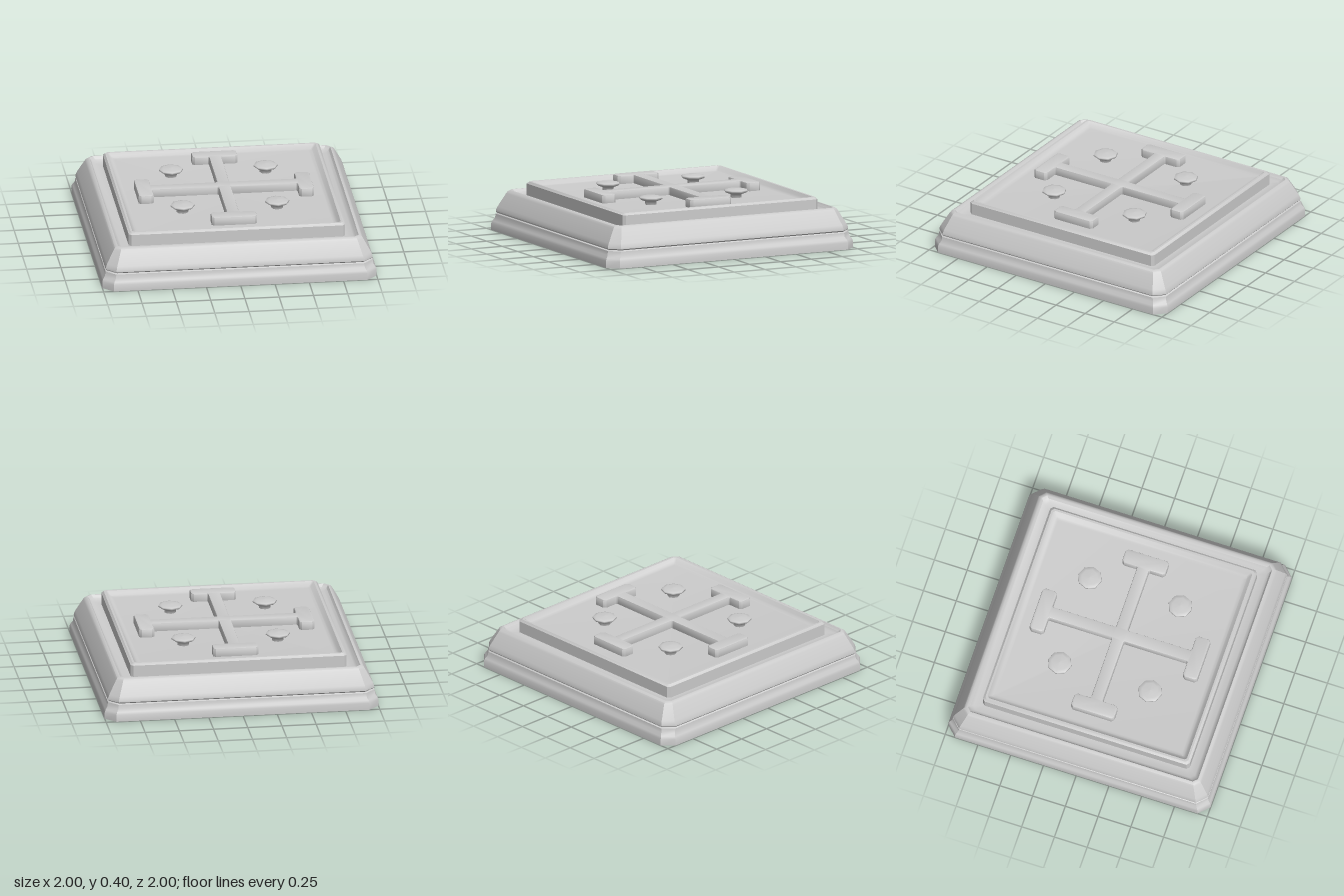
import * as THREE from 'three';
import { toCreasedNormals } from 'three/addons/utils/BufferGeometryUtils.js';

const grey = new THREE.MeshStandardMaterial({ color: 0xcccccc, side: THREE.DoubleSide });

function addMesh(parent, name, geometry) {
  const mesh = new THREE.Mesh(geometry, grey);
  mesh.name = name;
  parent.add(mesh);
  return mesh;
}

// Square with cut corners, counter-clockwise seen from above
function ring(h, cut, y) {
  const k = h - cut;
  return [[h, k], [h, -k], [k, -h], [-k, -h], [-h, -k], [-h, k], [-k, h], [k, h]]
    .map(([x, z]) => [x, y, z]);
}

// Skin through rings of [half width, corner cut, height], optionally closed at the end
function loft(rows, closed) {
  const points = rows.flatMap((r) => ring(...r));
  const index = [];
  for (let i = 0; i < rows.length - 1; i++) {
    for (let j = 0; j < 8; j++) {
      const a = i * 8 + j, b = i * 8 + (j + 1) % 8;
      index.push(a, b, b + 8, a, b + 8, a + 8);
    }
  }
  if (closed) {
    const start = (rows.length - 1) * 8;
    for (let j = 1; j < 7; j++) index.push(start, start + j, start + j + 1);
  }
  const geometry = new THREE.BufferGeometry();
  geometry.setAttribute('position', new THREE.Float32BufferAttribute(points.flat(), 3));
  geometry.setIndex(index);
  return toCreasedNormals(geometry, 0.6);
}

// Four equal arms, each ending in a crossbar
function crossShape(inset) {
  const w = 0.045 - inset, b = 0.165 - inset, inner = 0.53 + inset, outer = 0.64 - inset;
  const f = 0.012;
  const arm = [[w + f, w], [inner - f, w], [inner, w + f], [inner, b - f], [inner + f, b],
    [outer - f, b], [outer, b - f]];
  const points = [];
  for (let q = 0; q < 4; q++) {
    const c = Math.round(Math.cos(q * Math.PI / 2)), s = Math.round(Math.sin(q * Math.PI / 2));
    // Lower half of the arm outward, then the upper half back
    const half = [...arm.map(([x, y]) => [x, -y]), ...arm.slice().reverse()];
    half.forEach(([x, y]) => points.push(new THREE.Vector2(c * x - s * y, s * x + c * y)));
  }
  return new THREE.Shape(points);
}

export function createModel() {
  const model = new THREE.Group();
  model.name = 'squarePlaque';

  // Hollow moulded frame, open underneath
  addMesh(model, 'baseMoulding', loft([
    [1, 0.075, 0], [1, 0.075, 0.05], [0.993, 0.073, 0.068], [0.978, 0.07, 0.09],
    [0.974, 0.07, 0.12], [0.965, 0.068, 0.127],
  ]));
  addMesh(model, 'upperFrame', loft([
    [0.965, 0.068, 0.127], [0.973, 0.07, 0.136], [0.972, 0.07, 0.15], [0.962, 0.066, 0.175],
    [0.91, 0.045, 0.27], [0.9, 0.04, 0.285], [0.885, 0.033, 0.294],
    [0.878, 0.03, 0.294], [0.865, 0.03, 0.275], [0.845, 0.03, 0.262], [0.79, 0.02, 0.262],
  ]));

  // Raised panel with a softly dished middle
  addMesh(model, 'panel', loft([
    [0.79, 0.02, 0.262], [0.79, 0.02, 0.348], [0.775, 0.018, 0.363], [0.76, 0.015, 0.363],
    [0.745, 0.012, 0.345], [0.73, 0.01, 0.333], [0.71, 0.01, 0.33],
  ], true));

  // Relief cross with softened top edges
  const bevel = 0.01;
  const cross = new THREE.ExtrudeGeometry(crossShape(bevel), {
    depth: 0.052, bevelThickness: bevel, bevelSize: bevel, bevelSegments: 2,
  });
  cross.rotateX(-Math.PI / 2);
  cross.translate(0, 0.33, 0);
  addMesh(model, 'reliefCross', toCreasedNormals(cross, 0.6));

  // Eight-sided studs on narrow necks
  const profile = [[0.042, 0.325], [0.044, 0.355], [0.078, 0.368], [0.089, 0.376],
    [0.086, 0.386], [0.06, 0.392], [0, 0.396]].map(([x, y]) => new THREE.Vector2(x, y));
  const stud = new THREE.LatheGeometry(profile, 8);
  for (const x of [-1, 1]) {
    for (const z of [-1, 1]) {
      addMesh(model, 'stud', stud).position.set(0.345 * x, 0, 0.345 * z);
    }
  }
  return model;
}
